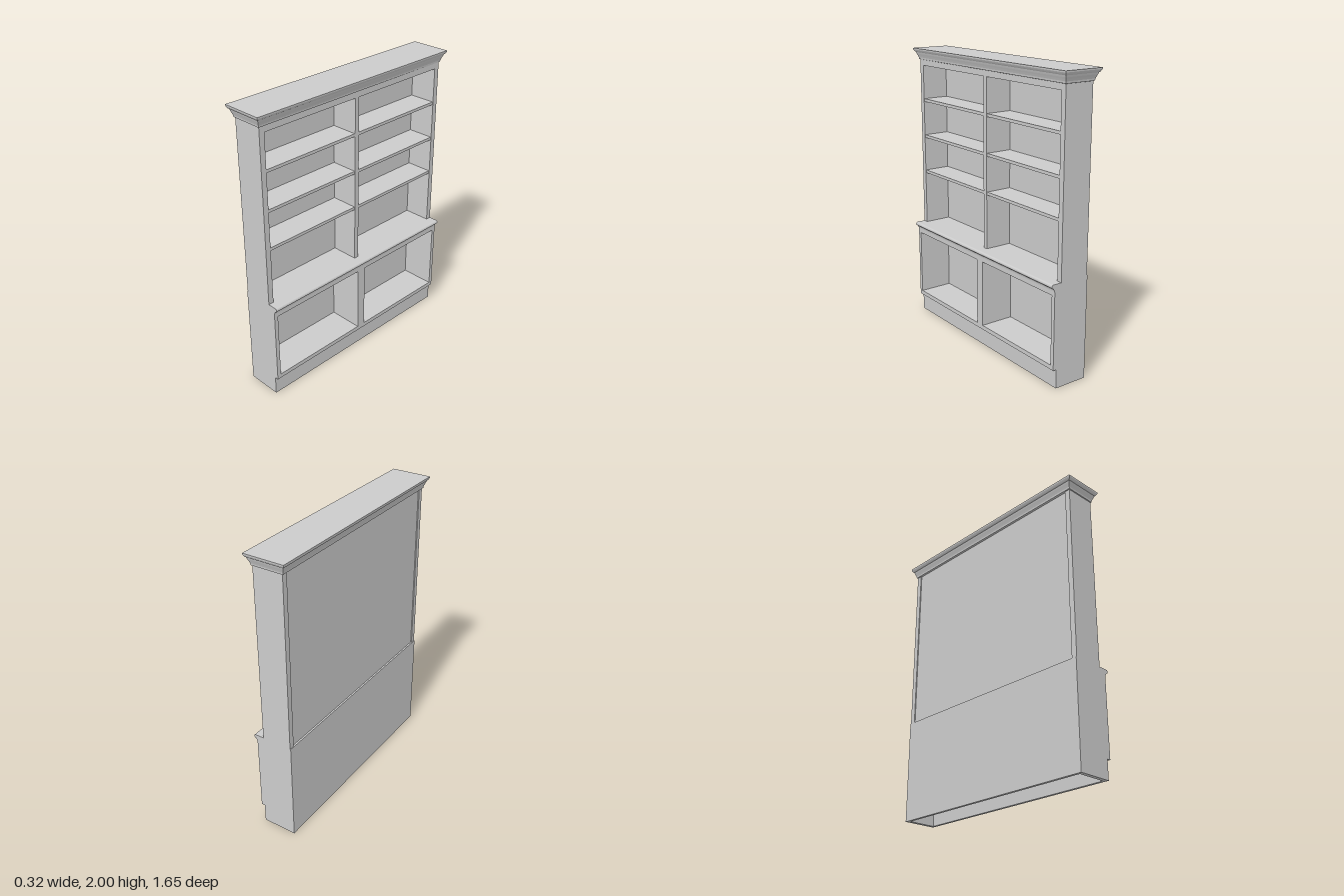
import * as THREE from 'three';

const material = new THREE.MeshStandardMaterial({ color: 0xcccccc, flatShading: true });

export function createModel() {
  const group = new THREE.Group();

  const add = (name, geometry) => {
    const mesh = new THREE.Mesh(geometry, material);
    mesh.name = name;
    group.add(mesh);
    return mesh;
  };

  // Box given by its extents along x, y and z
  const box = (name, x0, x1, y0, y1, z0, z1) =>
    add(name, new THREE.BoxGeometry(x1 - x0, y1 - y0, z1 - z0))
      .position.set((x0 + x1) / 2, (y0 + y1) / 2, (z0 + z1) / 2);

  // Outline in x and y, carried along z
  const extrude = (name, points, z0, z1) => {
    const shape = new THREE.Shape(points.map(([x, y]) => new THREE.Vector2(x, y)));
    add(name, new THREE.ExtrudeGeometry(shape, { depth: z1 - z0, bevelEnabled: false }))
      .position.z = z0;
  };

  const W = 0.79; // half width of the carcass

  // Lower cabinet: notched ends, floor, divider, back, face rail
  const endOutline = [[-0.13, 0], [0.11, 0], [0.11, 0.13], [0.135, 0.13], [0.135, 0.66], [-0.13, 0.66]];
  extrude('lowerSideLeft', endOutline, 0.762, W);
  extrude('lowerSideRight', endOutline, -W, -0.762);
  box('lowerBack', -0.13, -0.11, 0, 0.66, -0.762, 0.762);
  box('lowerFloor', -0.11, 0.135, 0.13, 0.16, -0.762, 0.762);
  box('lowerDivider', -0.11, 0.135, 0.16, 0.63, -0.032, 0.032);
  box('lowerTopRail', -0.11, 0.135, 0.63, 0.66, -0.762, 0.762);
  box('toeKick', 0.09, 0.11, 0, 0.13, -0.762, 0.762);
  box('baseSupport', -0.11, 0.09, 0.09, 0.13, -0.012, 0.012);

  // Countertop with a rounded nose and a small moulding below it
  const nose = [];
  for (let i = 0; i <= 8; i++) {
    const a = -Math.PI / 2 + (Math.PI * i) / 8;
    nose.push([0.147 + 0.012 * Math.cos(a), 0.697 + 0.013 * Math.sin(a)]);
  }
  extrude('countertop', [[-0.13, 0.66], [0.137, 0.66], [0.138, 0.669], [0.142, 0.677],
    [0.147, 0.68], ...nose, [-0.13, 0.71]], -W, W);

  // Upper bookcase
  for (const s of [-1, 1]) {
    const z = [0.752 * s, W * s].sort((a, b) => a - b);
    box(s > 0 ? 'upperSideLeft' : 'upperSideRight', -0.125, 0.085, 0.71, 1.92, ...z);
  }
  box('upperBack', -0.118, -0.108, 0.71, 1.92, -0.752, 0.752);
  box('upperDivider', -0.108, 0.085, 0.71, 1.88, -0.017, 0.017);
  box('upperTop', -0.108, 0.085, 1.88, 1.92, -0.752, 0.752);
  for (const y of [1.09, 1.355, 1.62]) {
    box('shelfLeft', -0.108, 0.081, y, y + 0.021, 0.017, 0.752);
    box('shelfRight', -0.108, 0.081, y, y + 0.021, -0.752, -0.017);
  }

  // Crown moulding: rectangular rings, each [height, overhang]
  const rings = [[1.92, 0], [1.922, 0.006], [1.935, 0.008], [1.948, 0.013], [1.96, 0.018],
    [1.972, 0.022], [1.976, 0.028], [1.984, 0.033], [1.99, 0.036], [2, 0.037]]
    .map(([y, o]) => [
      [0.085 + o, y, W + o], [0.085 + o, y, -W - o],
      [-0.126 - o, y, -W - o], [-0.126 - o, y, W + o],
    ]);
  const corners = [];
  const quad = (a, b, c, d) => corners.push(...a, ...b, ...c, ...a, ...c, ...d);
  for (let i = 0; i < rings.length - 1; i++) {
    for (let k = 0; k < 4; k++) {
      const n = (k + 1) % 4;
      quad(rings[i][k], rings[i][n], rings[i + 1][n], rings[i + 1][k]);
    }
  }
  quad(...rings[rings.length - 1]);
  quad(...[...rings[0]].reverse());
  const crown = new THREE.BufferGeometry();
  crown.setAttribute('position', new THREE.Float32BufferAttribute(corners, 3));
  crown.computeVertexNormals();
  add('crownMoulding', crown);

  return group;
}
